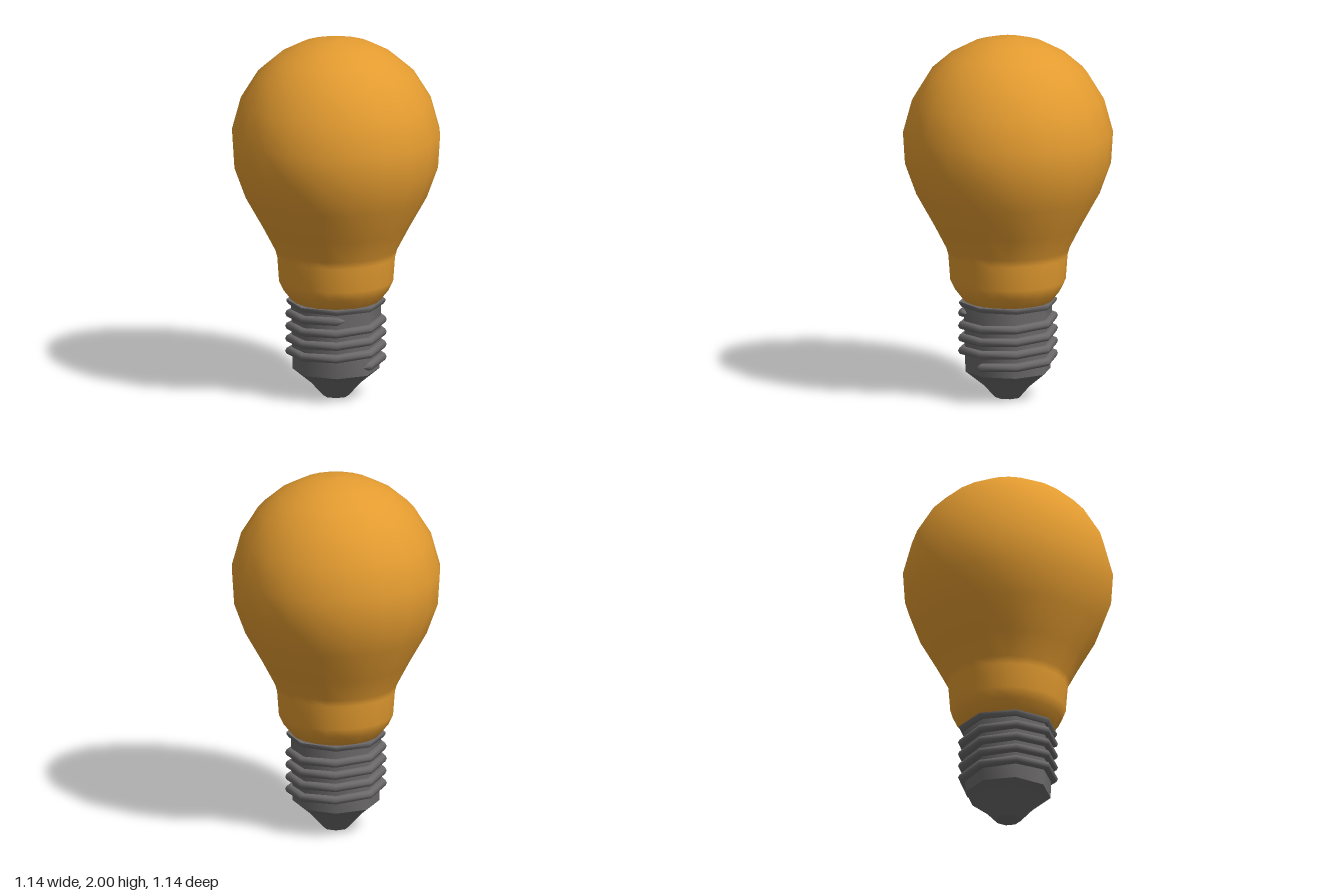
import * as THREE from 'three';
import { toCreasedNormals } from 'three/addons/utils/BufferGeometryUtils.js';

const amber = new THREE.MeshStandardMaterial({ color: 0xe39b30 });
amber.name = 'amber glass';
const metal = new THREE.MeshStandardMaterial({ color: 0x6b696a });
metal.name = 'grey metal';

// Surface of revolution; profile is [radius, height] from bottom to top
function lathe(name, profile, sides, material) {
  const points = profile.map(([r, y]) => new THREE.Vector2(r, y));
  const geometry = toCreasedNormals(new THREE.LatheGeometry(points, sides), 0.82);
  const mesh = new THREE.Mesh(geometry, material);
  mesh.name = name;
  return mesh;
}

// Helical ridge made of rings swept around an octagonal core, pointed at both ends
function threadGeometry() {
  const section = 8, pitch = 0.07, coreRadius = 0.249, thickness = 0.027;
  const rings = [[-0.2, 0.001], [-0.1, 0.6]];
  for (let k = 0; k <= 31; k++) rings.push([k, 1]);
  rings.push([31.12, 0.6], [31.25, 0.001]);

  const positions = [], index = [];
  rings.forEach(([k, scale], i) => {
    const angle = k * Math.PI / 4;
    const height = 0.206 + pitch * k / 8;
    for (let j = 0; j < section; j++) {
      const b = j / section * Math.PI * 2;
      const r = coreRadius + Math.cos(b) * thickness * scale;
      positions.push(r * Math.cos(angle), height + Math.sin(b) * 0.024 * scale, -r * Math.sin(angle));
      if (i < rings.length - 1) {
        const j2 = (j + 1) % section;
        const p = i * section + j, q = i * section + j2;
        index.push(p, p + section, q, q, p + section, q + section);
      }
    }
  });
  const geometry = new THREE.BufferGeometry();
  geometry.setAttribute('position', new THREE.Float32BufferAttribute(positions, 3));
  geometry.setIndex(index);
  geometry.computeVertexNormals();
  return geometry;
}

export function createModel() {
  const model = new THREE.Group();
  model.name = 'lightBulb';

  // Pear-shaped glass with a rounded neck
  const glass = new THREE.Mesh(new THREE.LatheGeometry([
    [0.2, 0.525], [0.245, 0.545], [0.288, 0.6], [0.314, 0.655], [0.324, 0.79], [0.335, 0.83],
    [0.4, 0.955], [0.498, 1.13], [0.56, 1.3], [0.571, 1.475], [0.522, 1.655], [0.428, 1.808],
    [0.318, 1.903], [0.2, 1.965], [0.1, 1.992], [0, 2],
  ].map(([r, y]) => new THREE.Vector2(r, y)), 20), amber);
  glass.name = 'glassBulb';
  model.add(glass);

  // Screw base
  const base = new THREE.Group();
  base.name = 'screwBase';
  base.add(lathe('baseShell', [[0.235, 0.15], [0.245, 0.52]], 8, metal));
  base.add(lathe('contactCone', [[0, 0], [0.07, 0], [0.135, 0.07], [0.235, 0.15]], 8, metal));
  base.add(lathe('collar', [[0.24, 0.512], [0.258, 0.512], [0.27, 0.53], [0.27, 0.54], [0.24, 0.54], [0.19, 0.53]], 8, metal));
  const thread = new THREE.Mesh(threadGeometry(), metal);
  thread.name = 'screwThread';
  base.add(thread);
  model.add(base);

  return model;
}
